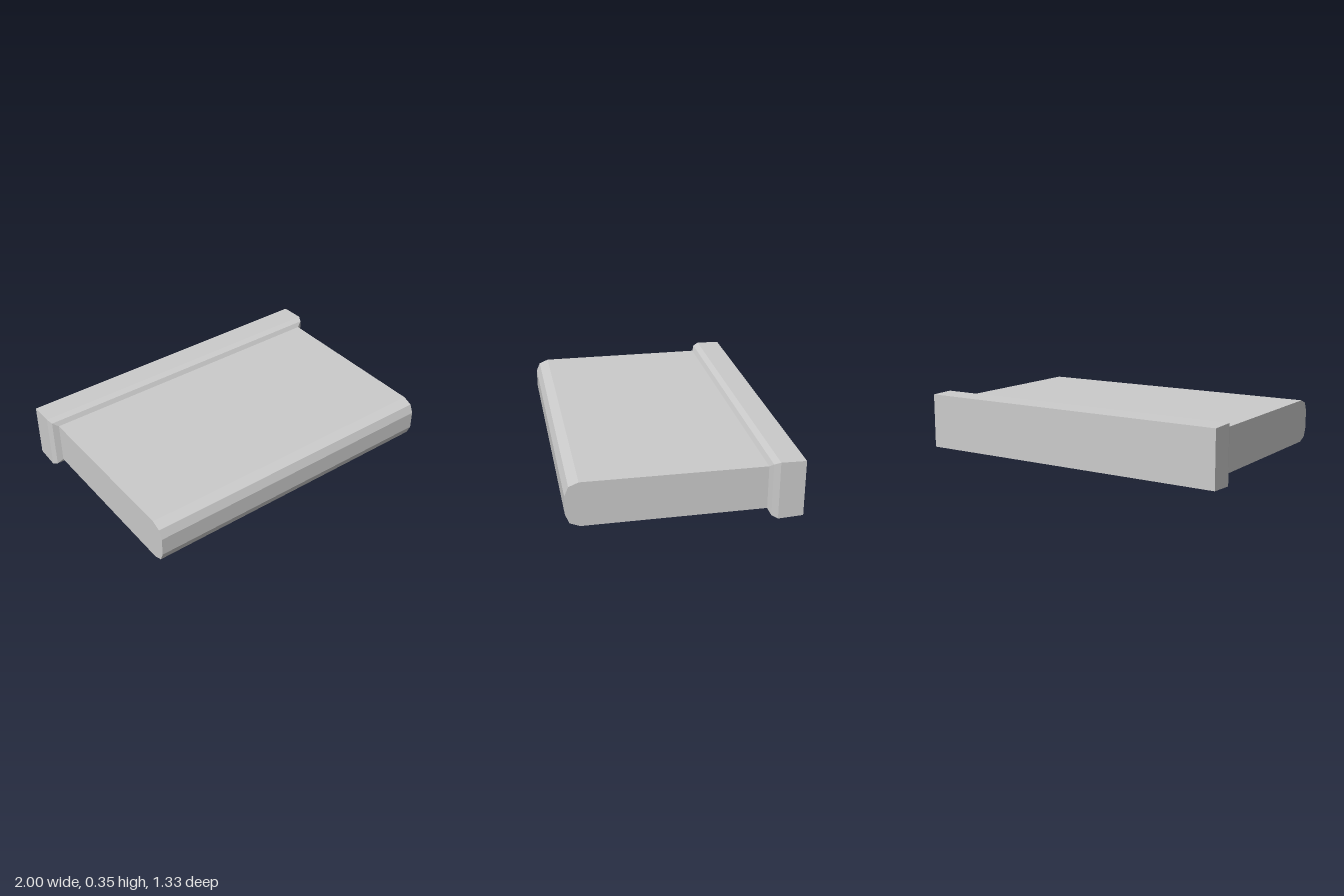
import * as THREE from 'three';

const material = new THREE.MeshStandardMaterial({ color: 0xcccccc, flatShading: true });

// Slab: side profile [z, y] with a faceted nose, swept along x
function makeSlab() {
  const halfWidth = 0.95;
  const profile = [
    [-0.47, 0.045], [0.583, 0.042], [0.64, 0.065], [0.663, 0.12],
    [0.663, 0.232], [0.64, 0.285], [0.583, 0.308], [-0.47, 0.305],
  ];
  const shape = new THREE.Shape(profile.map(([z, y]) => new THREE.Vector2(z, y)));
  const geometry = new THREE.ExtrudeGeometry(shape, { depth: halfWidth * 2, bevelEnabled: false });
  geometry.translate(0, 0, -halfWidth).rotateY(-Math.PI / 2);
  const mesh = new THREE.Mesh(geometry, material);
  mesh.name = 'slab';
  return mesh;
}

// Rear flange: rectangular sections joined from back to front, flaring out of the slab
function makeFlange() {
  // z, half width, bottom, top
  const sections = [
    [-0.663, 0.998, 0.006, 0.343],
    [-0.516, 1.0, 0.0, 0.347],
    [-0.481, 0.985, 0.017, 0.332],
    [-0.466, 0.95, 0.045, 0.305],
  ];
  const positions = [];
  for (const [z, w, bottom, top] of sections) {
    positions.push(-w, bottom, z, w, bottom, z, w, top, z, -w, top, z);
  }
  const index = [0, 2, 1, 0, 3, 2]; // back face
  for (let i = 0; i < sections.length - 1; i++) {
    for (let j = 0; j < 4; j++) {
      const a = i * 4 + j;
      const b = i * 4 + ((j + 1) % 4);
      index.push(a, b, b + 4, a, b + 4, a + 4);
    }
  }
  const indexed = new THREE.BufferGeometry();
  indexed.setAttribute('position', new THREE.Float32BufferAttribute(positions, 3));
  indexed.setIndex(index);
  const geometry = indexed.toNonIndexed();
  geometry.computeVertexNormals();
  const mesh = new THREE.Mesh(geometry, material);
  mesh.name = 'rearFlange';
  return mesh;
}

export function createModel() {
  const group = new THREE.Group();
  group.name = 'flangedSlab';
  group.add(makeSlab(), makeFlange());
  return group;
}
